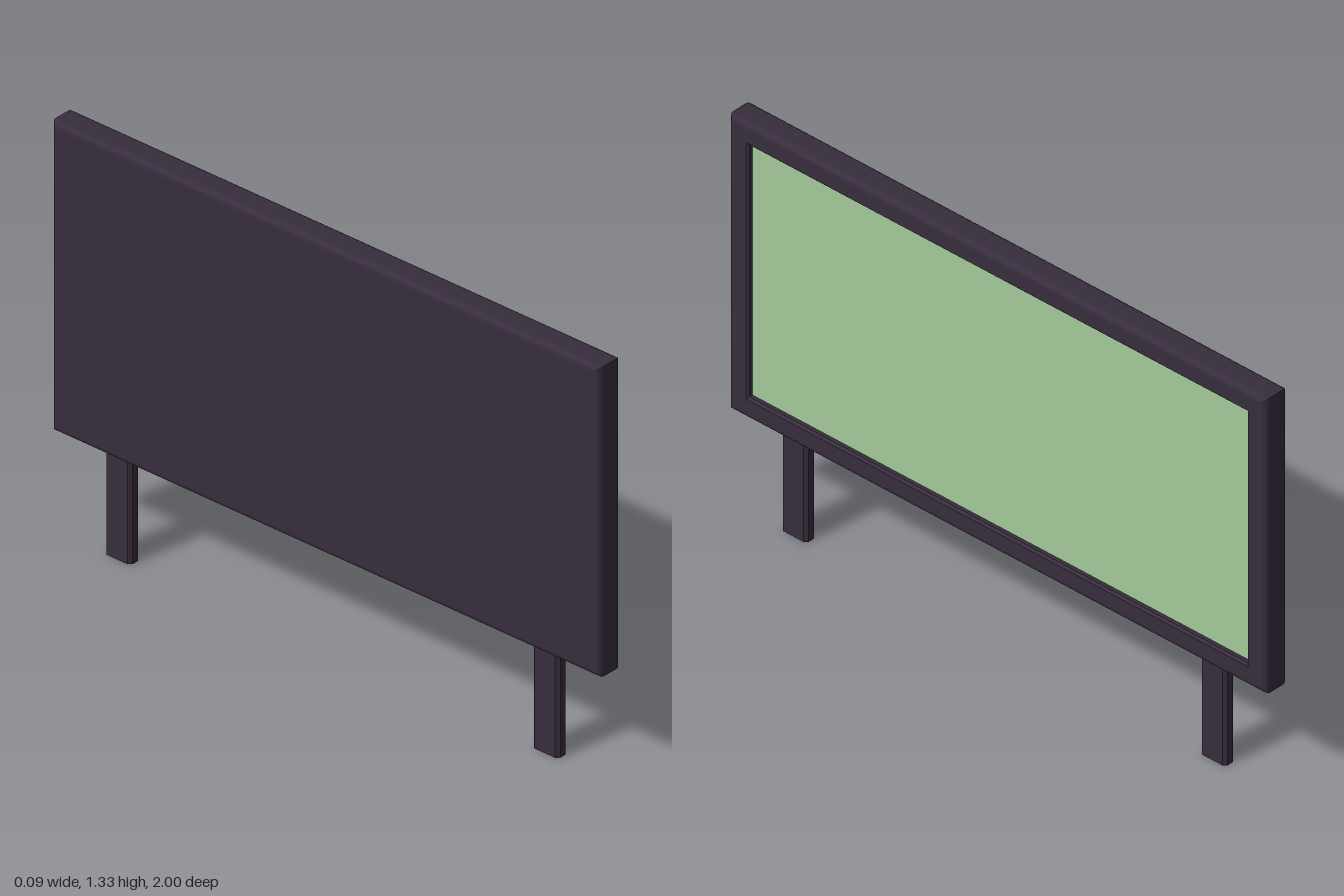
import * as THREE from 'three';

const dark = new THREE.MeshStandardMaterial({ color: 0x372d3d });
dark.name = 'dark plum';
const green = new THREE.MeshStandardMaterial({ color: 0xa4cb9a });
green.name = 'pale green';

const BOTTOM = 0.335, TOP = 1.325, MID = (BOTTOM + TOP) / 2;
const HALF_H = (TOP - BOTTOM) / 2, HALF_W = 1, HALF_D = 0.045;
const ROUND = 0.018, BORDER = 0.072, SCREEN_X = 0.026;

// Sweeps a profile of [inset, x] pairs around the board with mitred corners
function mitredFrame(profile) {
  const corners = [[1, -1], [-1, -1], [-1, 1], [1, 1]];
  const point = ([inset, x], [sz, sy]) => [x, MID + sy * (HALF_H - inset), sz * (HALF_W - inset)];
  const pos = [];
  for (let k = 0; k < 4; k++) {
    const c0 = corners[k], c1 = corners[(k + 1) % 4];
    for (let i = 0; i < profile.length - 1; i++) {
      const a = point(profile[i], c0), b = point(profile[i], c1);
      const c = point(profile[i + 1], c1), d = point(profile[i + 1], c0);
      pos.push(...a, ...b, ...c, ...a, ...c, ...d);
    }
  }
  const geo = new THREE.BufferGeometry();
  geo.setAttribute('position', new THREE.Float32BufferAttribute(pos, 3));
  geo.computeVertexNormals();
  return geo;
}

function addMesh(group, name, geo, mat) {
  const mesh = new THREE.Mesh(geo, mat);
  mesh.name = name;
  group.add(mesh);
  return mesh;
}

export function createModel() {
  const model = new THREE.Group();
  model.name = 'billboard';

  // Frame: rounded outer edges, flat border, small bevel into the recess
  const profile = [];
  const steps = 4;
  for (const side of [-1, 1]) {
    for (let i = 0; i <= steps; i++) {
      const t = ((side < 0 ? i : steps - i) / steps) * Math.PI / 2;
      profile.push([ROUND * (1 - Math.sin(t)), side * (HALF_D - ROUND + ROUND * Math.cos(t))]);
    }
  }
  profile.push([BORDER - 0.007, HALF_D], [BORDER, HALF_D - 0.007], [BORDER, SCREEN_X]);
  addMesh(model, 'frame', mitredFrame(profile), dark);

  // Plain back
  const back = addMesh(model, 'backPanel',
    new THREE.PlaneGeometry(2 * (HALF_W - ROUND), 2 * (HALF_H - ROUND)), dark);
  back.position.set(-HALF_D, MID, 0);
  back.rotation.y = -Math.PI / 2;

  // Recessed display surface
  const screen = addMesh(model, 'screen',
    new THREE.PlaneGeometry(2 * (HALF_W - BORDER), 2 * (HALF_H - BORDER)), green);
  screen.position.set(SCREEN_X, MID, 0);
  screen.rotation.y = Math.PI / 2;

  // Posts with chamfered upright edges
  const hx = 0.021, hz = 0.048, ch = 0.01;
  const outline = new THREE.Shape([
    [hx, -hz + ch], [hx, hz - ch], [hx - ch, hz], [-hx + ch, hz],
    [-hx, hz - ch], [-hx, -hz + ch], [-hx + ch, -hz], [hx - ch, -hz],
  ].map(([x, z]) => new THREE.Vector2(x, z)));
  const postGeo = new THREE.ExtrudeGeometry(outline, { depth: BOTTOM + 0.01, bevelEnabled: false });
  postGeo.rotateX(-Math.PI / 2);
  for (const [name, z] of [['frontPost', 0.78], ['backPost', -0.78]]) {
    addMesh(model, name, postGeo, dark).position.z = z;
  }

  return model;
}
